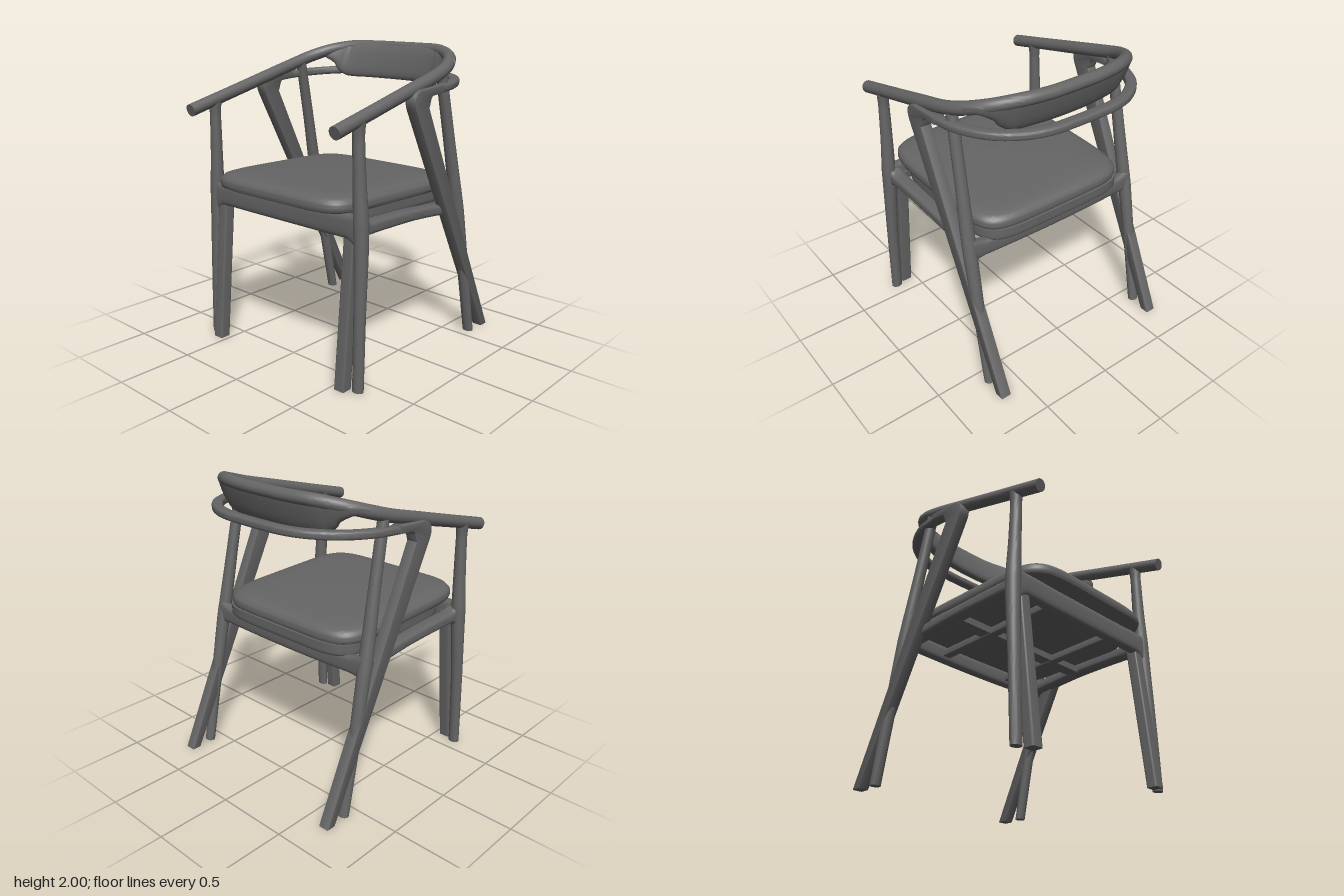
import * as THREE from 'three';
import { mergeVertices, toCreasedNormals } from 'three/addons/utils/BufferGeometryUtils.js';

const UP = new THREE.Vector3(0, 1, 0);
const FRONT = new THREE.Vector3(0, 0, 1);

// Solid swept through knots [x, y, z, halfWidth, halfHeight] with superellipse sections.
// A fixed axis keeps every ring parallel, so feet end flat on the ground.
function loft(knots, { ref = UP, axis = null, power = 2, sides = 28, steps = 8 } = {}) {
  const path = new THREE.CatmullRomCurve3(knots.map(k => new THREE.Vector3(k[0], k[1], k[2])));
  const rings = (knots.length - 1) * steps;
  const pos = [], idx = [];
  const bend = v => Math.sign(v) * Math.pow(Math.abs(v), 2 / power);
  for (let i = 0; i <= rings; i++) {
    const c = path.getPoint(i / rings);
    const n = Math.min(Math.floor(i / steps), knots.length - 2), f = i / steps - n;
    const width = THREE.MathUtils.lerp(knots[n][3], knots[n + 1][3], f);
    const height = THREE.MathUtils.lerp(knots[n][4], knots[n + 1][4], f);
    const t = axis || path.getTangent(i / rings);
    const side = new THREE.Vector3().crossVectors(ref, t).normalize();
    const norm = new THREE.Vector3().crossVectors(t, side);
    for (let j = 0; j < sides; j++) {
      const a = (j + 0.5) / sides * Math.PI * 2;
      const p = c.clone()
        .addScaledVector(side, width * bend(Math.cos(a)))
        .addScaledVector(norm, height * bend(Math.sin(a)));
      pos.push(p.x, p.y, p.z);
    }
  }
  for (let i = 0; i < rings; i++) for (let j = 0; j < sides; j++) {
    const k = (j + 1) % sides, a = i * sides, b = a + sides;
    idx.push(a + j, a + k, b + k, a + j, b + k, b + j);
  }
  // end caps
  const first = path.getPoint(0), last = path.getPoint(1);
  const hub = pos.length / 3, end = rings * sides;
  pos.push(first.x, first.y, first.z, last.x, last.y, last.z);
  for (let j = 0; j < sides; j++) {
    const k = (j + 1) % sides;
    idx.push(hub, k, j, hub + 1, end + j, end + k);
  }
  const g = new THREE.BufferGeometry();
  g.setAttribute('position', new THREE.Float32BufferAttribute(pos, 3));
  g.setIndex(idx);
  return toCreasedNormals(mergeVertices(g), 0.75);
}

// Slope a geometry: each vertex moves along `to` in proportion to its `from` coordinate.
function shear(g, to, from, amount, origin) {
  const m = new THREE.Matrix4();
  const col = { x: 0, y: 1, z: 2 };
  m.elements[col[from] * 4 + col[to]] = amount;
  m.elements[12 + col[to]] = -amount * origin;
  return g.applyMatrix4(m);
}

// Knots given for x >= 0, starting at the left end; the other half is mirrored.
const mirrored = half => [
  ...half,
  ...half.filter(k => k[0] > 0).reverse().map(k => [-k[0], ...k.slice(1)]),
];

export function createModel() {
  const group = new THREE.Group();
  const grey = new THREE.MeshStandardMaterial({ color: 0x656565 });
  grey.name = 'charcoal grey';
  const add = (name, g) => {
    const mesh = new THREE.Mesh(g, grey);
    mesh.name = name;
    group.add(mesh);
  };

  // arms and crest in one bent rail
  add('armRail', loft(mirrored([
    [0.63, 1.597, 0.775, 0.041, 0.041],
    [0.63, 1.685, 0.43, 0.041, 0.041],
    [0.63, 1.775, 0.08, 0.042, 0.042],
    [0.628, 1.84, -0.17, 0.042, 0.042],
    [0.6, 1.885, -0.315, 0.042, 0.042],
    [0.515, 1.93, -0.45, 0.041, 0.041],
    [0.37, 1.957, -0.541, 0.041, 0.041],
    [0.2, 1.96, -0.576, 0.04, 0.04],
    [0, 1.96, -0.582, 0.04, 0.04],
  ])));

  // backrest blade hanging below the crest, leaning back
  add('backrest', shear(loft(mirrored([
    [0.61, 1.9, -0.33, 0.025, 0.025],
    [0.55, 1.908, -0.412, 0.032, 0.036],
    [0.47, 1.897, -0.467, 0.038, 0.073],
    [0.42, 1.88, -0.488, 0.041, 0.106],
    [0.37, 1.868, -0.507, 0.042, 0.122],
    [0.18, 1.868, -0.537, 0.043, 0.124],
    [0, 1.868, -0.545, 0.043, 0.124],
  ]), { power: 2.8 }), 'z', 'y', -0.3, 1.87));

  // lower rail wrapping around the back
  add('lowerBackRail', loft(mirrored([
    [0.665, 1.748, -0.03, 0.032, 0.026],
    [0.658, 1.757, -0.14, 0.033, 0.026],
    [0.63, 1.767, -0.31, 0.035, 0.027],
    [0.53, 1.775, -0.495, 0.036, 0.027],
    [0.39, 1.78, -0.608, 0.036, 0.027],
    [0.25, 1.782, -0.658, 0.036, 0.027],
    [0.1, 1.782, -0.668, 0.036, 0.027],
  ]), { power: 3.5 }));

  // side profile of the slanted leg with its bent top (z across, y up)
  const profile = new THREE.Shape();
  profile.moveTo(-0.775, 0);
  profile.lineTo(-0.715, 0);
  profile.lineTo(0.127, 1.645);
  profile.bezierCurveTo(0.165, 1.72, 0.13, 1.768, 0.05, 1.77);
  profile.lineTo(-0.15, 1.781);
  profile.lineTo(-0.15, 1.738);
  profile.lineTo(-0.06, 1.733);
  profile.bezierCurveTo(-0.01, 1.73, -0.02, 1.69, 0, 1.655);
  profile.closePath();

  for (const s of [1, -1]) {
    const side = s > 0 ? 'left' : 'right';
    const m = list => list.map(k => [s * k[0], ...k.slice(1)]);
    const leg = { ref: FRONT, axis: UP };

    const slanted = new THREE.ExtrudeGeometry(profile, {
      depth: 0.064, bevelThickness: 0.006, bevelSize: 0.006, bevelOffset: -0.004,
      bevelSegments: 2, curveSegments: 12,
    });
    slanted.rotateY(-Math.PI / 2).translate(s * 0.66 + 0.032, 0.002, 0);
    add(side + 'SlantedLeg', toCreasedNormals(slanted, 0.6));

    // round posts carrying the arm
    add(side + 'FrontPost', loft(m([
      [0.66, 0, 0.605, 0.038, 0.031],
      [0.658, 0.5, 0.59, 0.04, 0.035],
      [0.652, 0.88, 0.573, 0.045, 0.045],
      [0.647, 1.05, 0.57, 0.048, 0.047],
      [0.637, 1.28, 0.572, 0.041, 0.04],
      [0.63, 1.55, 0.575, 0.036, 0.036],
      [0.63, 1.64, 0.575, 0.04, 0.045],
    ]), leg));
    add(side + 'BackPost', loft(m([
      [0.66, 0, -0.595, 0.037, 0.031],
      [0.658, 0.5, -0.497, 0.039, 0.036],
      [0.652, 0.93, -0.41, 0.045, 0.045],
      [0.647, 1.08, -0.378, 0.045, 0.043],
      [0.635, 1.4, -0.315, 0.039, 0.038],
      [0.62, 1.84, -0.225, 0.036, 0.036],
    ]), leg));

    // square inner front leg
    add(side + 'InnerFrontLeg', loft(m([
      [0.57, 0, 0.645, 0.039, 0.038],
      [0.57, 1.02, 0.55, 0.039, 0.038],
    ]), { ...leg, power: 9, steps: 1, sides: 32 }));

    // broad side seat rail, flared into the posts
    add(side + 'SeatRail', loft(m([
      [0.615, 1.0, 0.57, 0.05, 0.09],
      [0.612, 1.0, 0.5, 0.05, 0.04],
      [0.608, 0.985, 0.05, 0.05, 0.036],
      [0.61, 0.953, -0.32, 0.05, 0.036],
      [0.615, 0.95, -0.41, 0.05, 0.07],
    ]), { power: 4 }));

    // lengthwise strip under the seat
    add(side + 'SeatStrip', loft(m([
      [0.3, 0.99, 0.55, 0.03, 0.025],
      [0.3, 0.95, -0.41, 0.03, 0.025],
    ]), { power: 8, steps: 1 }));
  }

  // front and back seat rails
  add('frontSeatRail', loft(mirrored([
    [0.65, 1.0, 0.57, 0.034, 0.11],
    [0.57, 1.015, 0.57, 0.037, 0.077],
    [0.3, 1.015, 0.57, 0.037, 0.075],
    [0, 1.015, 0.57, 0.037, 0.075],
  ]), { power: 3.5 }));
  add('backSeatRail', loft(mirrored([
    [0.65, 0.96, -0.405, 0.036, 0.08],
    [0.55, 0.955, -0.41, 0.034, 0.057],
    [0.28, 0.952, -0.417, 0.034, 0.057],
    [0, 0.951, -0.42, 0.034, 0.057],
  ]), { power: 3.5 }));

  // batten across the underside
  const batten = new THREE.BoxGeometry(1.2, 0.045, 0.09);
  batten.translate(0, 0.975, 0.02);
  add('seatBatten', batten);

  // seat board and padded cushion, sloping down to the back
  const flat = { ref: FRONT, axis: UP, power: 6, sides: 96, steps: 3 };
  add('seatBoard', shear(loft([
    [0, 1.012, 0.025, 0.57, 0.52],
    [0, 1.022, 0.025, 0.575, 0.527],
    [0, 1.085, 0.025, 0.575, 0.527],
  ], flat), 'y', 'z', 0.025, 0.1));
  add('cushion', shear(loft([
    [0, 1.076, 0.107, 0.565, 0.58],
    [0, 1.083, 0.107, 0.578, 0.594],
    [0, 1.105, 0.107, 0.585, 0.6],
    [0, 1.135, 0.107, 0.582, 0.597],
    [0, 1.16, 0.107, 0.562, 0.577],
    [0, 1.175, 0.107, 0.52, 0.535],
    [0, 1.184, 0.107, 0.43, 0.445],
    [0, 1.189, 0.107, 0.28, 0.29],
    [0, 1.191, 0.107, 0.08, 0.08],
  ], flat), 'y', 'z', 0.025, 0.1));

  return group;
}
